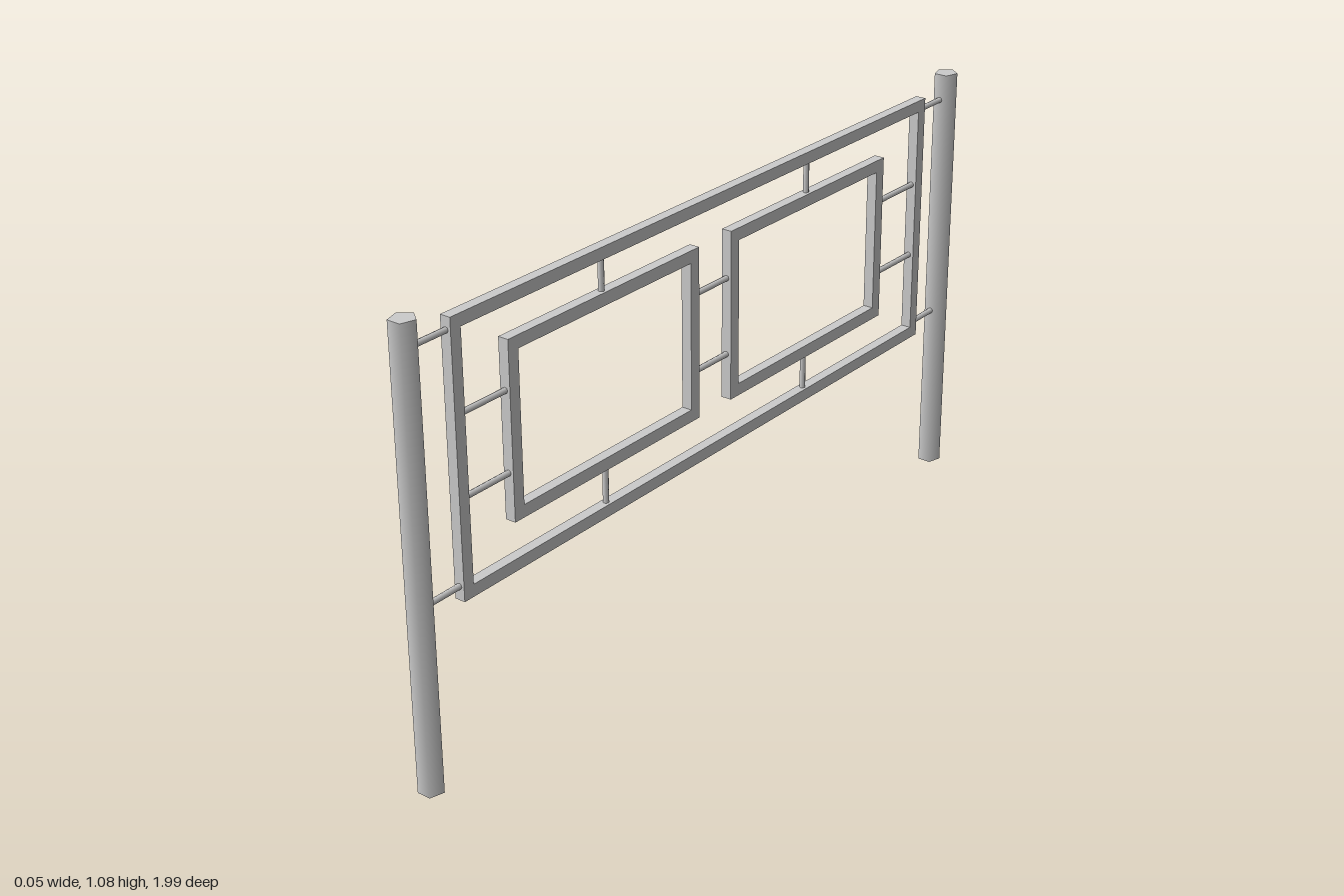
import * as THREE from 'three';

const material = new THREE.MeshStandardMaterial({ color: 0xcccccc });

// Rectangular frame in the z-y plane, extruded through x
function frame(name, z0, z1, y0, y1, bar, depth) {
  const rect = (Type, a, b, c, d) => new Type([[a, c], [b, c], [b, d], [a, d]].map(([u, v]) => new THREE.Vector2(u, v)));
  const shape = rect(THREE.Shape, -z1, -z0, y0, y1);
  shape.holes.push(rect(THREE.Path, -z1 + bar, -z0 - bar, y0 + bar, y1 - bar));
  const geometry = new THREE.ExtrudeGeometry(shape, { depth, bevelEnabled: false });
  geometry.translate(0, 0, -depth / 2).rotateY(Math.PI / 2);
  const mesh = new THREE.Mesh(geometry, material);
  mesh.name = name;
  return mesh;
}

// Thin round rod between two points in the x = 0 plane
function rod(name, za, ya, zb, yb, radius = 0.007) {
  const a = new THREE.Vector3(0, ya, za);
  const dir = new THREE.Vector3(0, yb, zb).sub(a);
  const mesh = new THREE.Mesh(new THREE.CylinderGeometry(radius, radius, dir.length(), 8), material);
  mesh.position.copy(a).addScaledVector(dir, 0.5);
  mesh.quaternion.setFromUnitVectors(new THREE.Vector3(0, 1, 0), dir.normalize());
  mesh.name = name;
  return mesh;
}

export function createModel() {
  const model = new THREE.Group();
  model.name = 'railing';

  // Five-sided end posts, both with a corner towards the back
  const height = 1.075;
  for (const [name, z] of [['frontPost', 0.969], ['backPost', -0.969]]) {
    const geometry = new THREE.CylinderGeometry(0.031, 0.031, height, 5);
    geometry.rotateY(Math.PI).scale(0.93, 1, 1);
    const post = new THREE.Mesh(geometry, material);
    post.position.set(0, height / 2, z);
    post.name = name;
    model.add(post);
  }

  // Outer frame and the two inner panels
  model.add(frame('outerFrame', -0.855, 0.855, 0.405, 1.04, 0.029, 0.026));
  model.add(frame('frontPanel', 0.063, 0.693, 0.52, 0.936, 0.03, 0.026));
  model.add(frame('backPanel', -0.675, -0.055, 0.52, 0.936, 0.03, 0.026));

  // Rods from the posts to the outer frame
  for (const y of [1.01, 0.438]) {
    model.add(rod('postRod', 0.965, y, 0.84, y));
    model.add(rod('postRod', -0.84, y, -0.965, y));
  }

  // Horizontal rods around and between the panels
  for (const y of [0.82, 0.632]) {
    for (const [a, b] of [[0.84, 0.68], [0.075, -0.068], [-0.66, -0.84]]) {
      model.add(rod('panelRod', a, y, b, y));
    }
  }

  // Vertical rods above and below the panels
  for (const z of [0.384, -0.364]) {
    model.add(rod('upperRod', z, 0.92, z, 1.025));
    model.add(rod('lowerRod', z, 0.42, z, 0.535));
  }

  return model;
}
